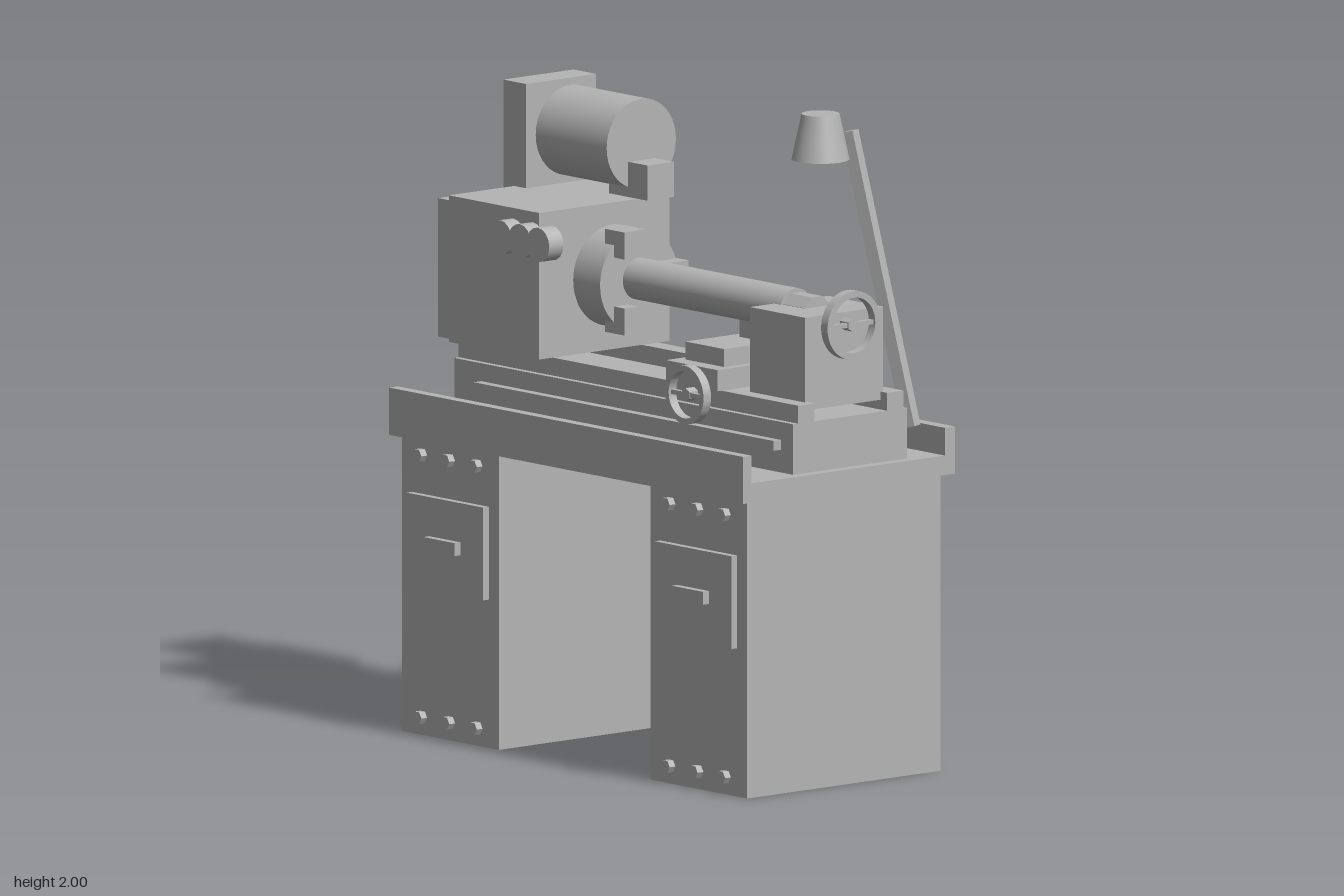
import * as THREE from 'three';
import { toCreasedNormals } from 'three/addons/utils/BufferGeometryUtils.js';

export function createModel() {
  const root = new THREE.Group();
  root.name = 'workshopLathe';
  const grey = new THREE.MeshStandardMaterial({ color: 0xb4b4b4 });
  grey.name = 'machine grey';

  const add = (name, geometry, parent = root) => {
    const mesh = new THREE.Mesh(geometry, grey);
    mesh.name = name;
    parent.add(mesh);
    return mesh;
  };
  // Box from its lower and upper limits on each axis
  const box = (name, [x0, x1], [y0, y1], [z0, z1], parent) => {
    const mesh = add(name, new THREE.BoxGeometry(x1 - x0, y1 - y0, z1 - z0), parent);
    mesh.position.set((x0 + x1) / 2, (y0 + y1) / 2, (z0 + z1) / 2);
    return mesh;
  };
  // Cylinder lying along x
  const rodX = (name, x0, x1, y, z, r, sides = 40) => {
    const g = new THREE.CylinderGeometry(r, r, x1 - x0, sides);
    g.rotateZ(-Math.PI / 2);
    const mesh = add(name, sides < 9 ? toCreasedNormals(g, 0.5) : g);
    mesh.position.set((x0 + x1) / 2, y, z);
    return mesh;
  };
  // Cylinder lying along z
  const rodZ = (name, x, y, z0, z1, r, sides, parent) => {
    const g = new THREE.CylinderGeometry(r, r, z1 - z0, sides);
    g.rotateX(Math.PI / 2);
    const mesh = add(name, sides < 9 ? toCreasedNormals(g, 0.5) : g, parent);
    mesh.position.set(x, y, (z0 + z1) / 2);
    return mesh;
  };
  // Rim, hub and crossbar, facing +z from its own origin
  const handwheel = (name, rOut, rIn, depth, hubBack) => {
    const wheel = new THREE.Group();
    wheel.name = name;
    const rim = new THREE.Shape().absarc(0, 0, rOut, 0, Math.PI * 2, false);
    rim.holes.push(new THREE.Path().absarc(0, 0, rIn, 0, Math.PI * 2, true));
    const g = new THREE.ExtrudeGeometry(rim, { depth, bevelEnabled: false, curveSegments: 36 });
    add(name + 'Rim', toCreasedNormals(g, 0.6), wheel);
    rodZ(name + 'Hub', 0, 0, -hubBack, depth * 0.8, 0.02, 6, wheel);
    box(name + 'Bar', [-rIn, rIn], [-0.007, 0.007], [depth * 0.2, depth * 0.7], wheel);
    root.add(wheel);
    return wheel;
  };

  // Pedestals with door, handle and two rows of bolts
  for (const [side, cx] of [['right', -0.58], ['left', 0.575]]) {
    const pedestal = new THREE.Group();
    pedestal.name = side + 'Pedestal';
    pedestal.position.x = cx;
    root.add(pedestal);
    box('cabinet', [-0.225, 0.225], [0, 0.91], [-0.39, 0.38], pedestal);
    box('door', [-0.178, 0.178], [0.455, 0.74], [0.38, 0.403], pedestal);
    box('doorHandle', [-0.073, 0.073], [0.58, 0.62], [0.403, 0.427], pedestal);
    for (const y of [0.055, 0.86])
      for (const x of [-0.13, 0, 0.128]) {
        rodZ('bolt', x, y, 0.38, 0.403, 0.021, 6, pedestal).rotation.z = Math.PI / 6;
      }
  }

  // Chip tray, open at both ends
  box('trayFloor', [-0.825, 0.82], [0.91, 0.97], [-0.43, 0.415]);
  box('trayFrontLip', [-0.825, 0.82], [0.97, 1.055], [0.38, 0.415]);
  box('trayBackLip', [-0.825, 0.82], [0.97, 1.055], [-0.43, -0.39]);

  // Bed with two raised ways and the feed bar
  box('bed', [-0.79, 0.785], [0.97, 1.125], [-0.27, 0.185]);
  box('frontWay', [-0.795, 0.785], [1.125, 1.18], [0.1, 0.165]);
  box('backWay', [-0.795, 0.785], [1.125, 1.18], [-0.255, -0.19]);
  box('feedBar', [-0.665, 0.73], [1.04, 1.07], [0.185, 0.215]);

  // Headstock, belt cover and motor
  box('headstock', [-0.775, -0.355], [1.18, 1.63], [-0.3, 0.22]);
  box('gearCover', [-0.825, -0.775], [1.19, 1.615], [-0.3, 0.22]);
  box('beltCover', [-0.825, -0.72], [1.43, 1.95], [-0.32, -0.04]);
  rodX('motor', -0.72, -0.39, 1.79, -0.217, 0.138);
  box('motorTerminalBox', [-0.48, -0.3], [1.632, 1.74], [-0.27, -0.165]);
  for (const x of [-0.475, -0.385, -0.3]) rodZ('controlKnob', x, 1.545, 0.215, 0.272, 0.053, 16);

  // Chuck with three jaws, and the workpiece
  const axisY = 1.415, axisZ = -0.045;
  rodX('spindleNose', -0.36, -0.32, axisY, axisZ, 0.09);
  rodX('chuck', -0.325, -0.2, axisY, axisZ, 0.155);
  box('upperJaw', [-0.24, -0.15], [1.495, 1.578], [0, 0.055]);
  box('lowerJaw', [-0.24, -0.15], [1.262, 1.345], [0, 0.055]);
  box('backJaw', [-0.24, -0.15], [1.39, 1.465], [-0.2, -0.115]);
  rodX('workpiece', -0.2, 0.53, 1.42, axisZ, 0.064);

  // Tailstock
  box('tailstock', [0.5, 0.755], [1.155, 1.44], [-0.2, 0.112]);
  rodX('quill', 0.52, 0.63, 1.42, axisZ, 0.055, 8).rotation.x = Math.PI / 8;
  const tailWheel = handwheel('tailstockWheel', 0.105, 0.085, 0.03, 0.02);
  tailWheel.position.set(0.77, 1.405, axisZ);
  tailWheel.rotation.y = Math.PI / 2;

  // Carriage with tool post
  box('saddle', [0.19, 0.43], [1.18, 1.245], [-0.27, 0.182]);
  box('crossSlide', [0.22, 0.4], [1.245, 1.3], [-0.17, 0.13]);
  box('toolPost', [0.262, 0.365], [1.3, 1.395], [-0.17, -0.05]);
  box('toolBar', [0.295, 0.327], [1.355, 1.385], [-0.31, -0.17]);
  handwheel('carriageWheel', 0.09, 0.072, 0.03, 0.01).position.set(0.315, 1.158, 0.186);

  // Work lamp on a leaning arm
  const foot = new THREE.Vector3(0.71, 1.05, -0.352);
  const tip = new THREE.Vector3(0.515, 1.94, -0.272);
  const arm = add('lampArm', new THREE.BoxGeometry(0.04, 0.04, foot.distanceTo(tip)));
  arm.position.copy(foot).lerp(tip, 0.5);
  arm.lookAt(tip);
  add('lampShade', new THREE.CylinderGeometry(0.058, 0.088, 0.14, 32)).position.set(0.487, 1.93, -0.18);

  return root;
}
